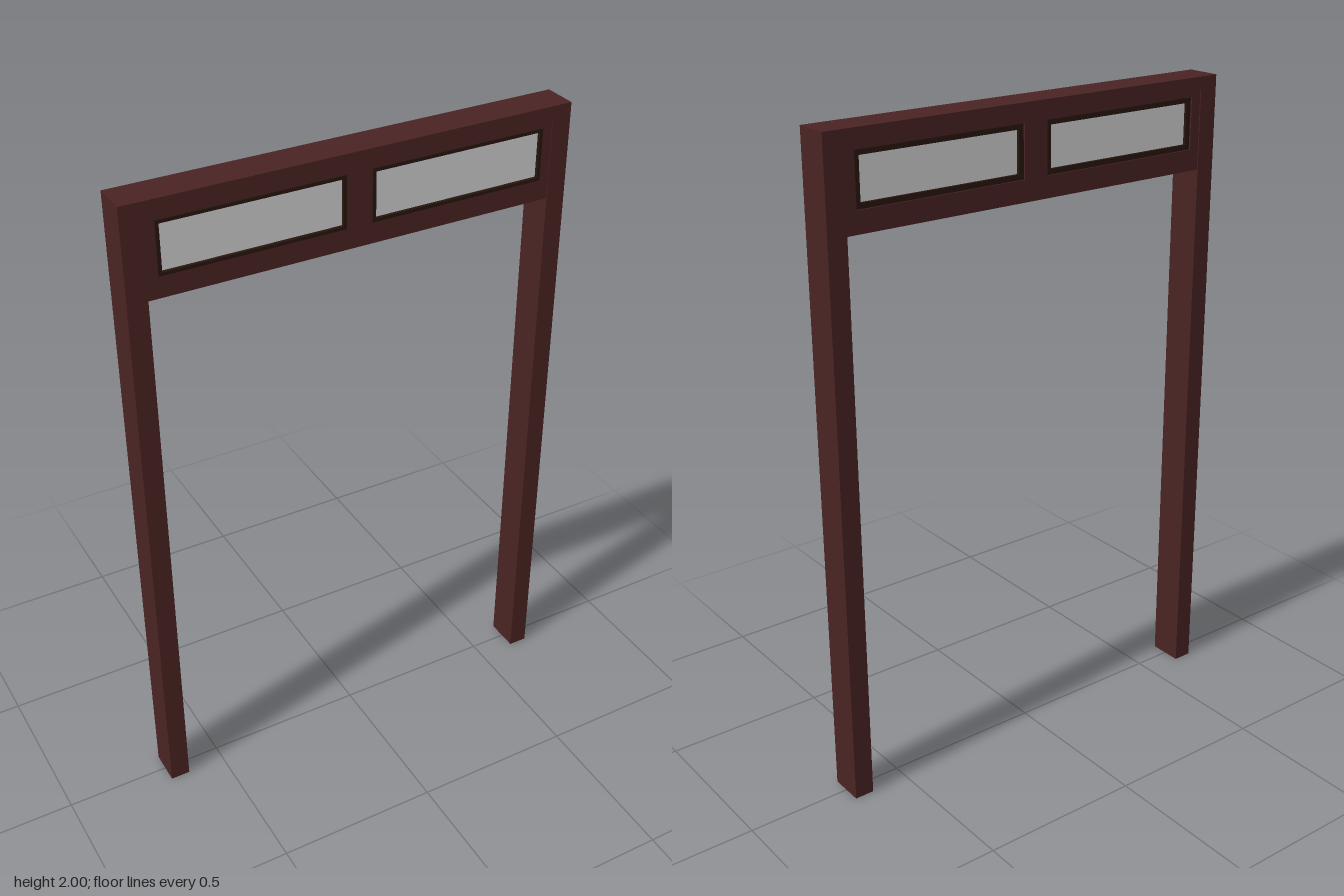
import * as THREE from 'three';

const wood = new THREE.MeshStandardMaterial({ color: 0x4a2323 });
wood.name = 'dark red wood';
const trim = new THREE.MeshStandardMaterial({ color: 0x28160f });
trim.name = 'dark brown trim';
const glass = new THREE.MeshStandardMaterial({ color: 0xd2d2d2 });
glass.name = 'pale grey glass';

// Closed rectangle outline, usable as a shape or as a hole
function rect(x0, x1, y0, y1, Type = THREE.Path) {
  return new Type([[x0, y0], [x1, y0], [x1, y1], [x0, y1]].map(([x, y]) => new THREE.Vector2(x, y)));
}

export function createModel() {
  const group = new THREE.Group();

  function add(name, geometry, material) {
    const mesh = new THREE.Mesh(geometry, material);
    mesh.name = name;
    group.add(mesh);
  }
  function box(name, x0, x1, y0, y1, z0, z1, material) {
    const g = new THREE.BoxGeometry(x1 - x0, y1 - y0, z1 - z0);
    add(name, g.translate((x0 + x1) / 2, (y0 + y1) / 2, (z0 + z1) / 2), material);
  }
  // Rectangular plate with one rectangular opening
  function frame(name, outer, inner, z0, z1, material) {
    const shape = rect(...outer, THREE.Shape);
    shape.holes.push(rect(...inner));
    const g = new THREE.ExtrudeGeometry(shape, { depth: z1 - z0, bevelEnabled: false });
    add(name, g.translate(0, 0, z0), material);
  }

  // Rail across the top, between the posts
  box('topRail', -0.62, 0.62, 1.965, 2, -0.055, 0.053, wood);

  for (const s of [-1, 1]) {
    const side = s > 0 ? 'left' : 'right';
    const span = (a, b) => (s > 0 ? [a, b] : [-b, -a]);

    // Full-height post
    box(side + 'Post', ...span(0.62, 0.68), 0, 2, -0.055, 0.053, wood);

    // Transom panel with its window opening
    const opening = [...span(0.04, 0.587), 1.785, 1.942];
    frame(side + 'TransomPanel', [...span(0, 0.62), 1.72, 1.965], opening, -0.052, 0.051, wood);

    // Narrow dark trim, just proud of the front
    frame(side + 'WindowTrim', opening, [...span(0.05, 0.577), 1.795, 1.932], 0.03, 0.056, trim);

    // Wider stepped moulding on the back
    frame(side + 'BackMoulding', opening, [...span(0.056, 0.571), 1.801, 1.926], -0.047, -0.03, trim);

    // Window pane
    box(side + 'Pane', ...opening, -0.038, 0.046, glass);
  }
  return group;
}
